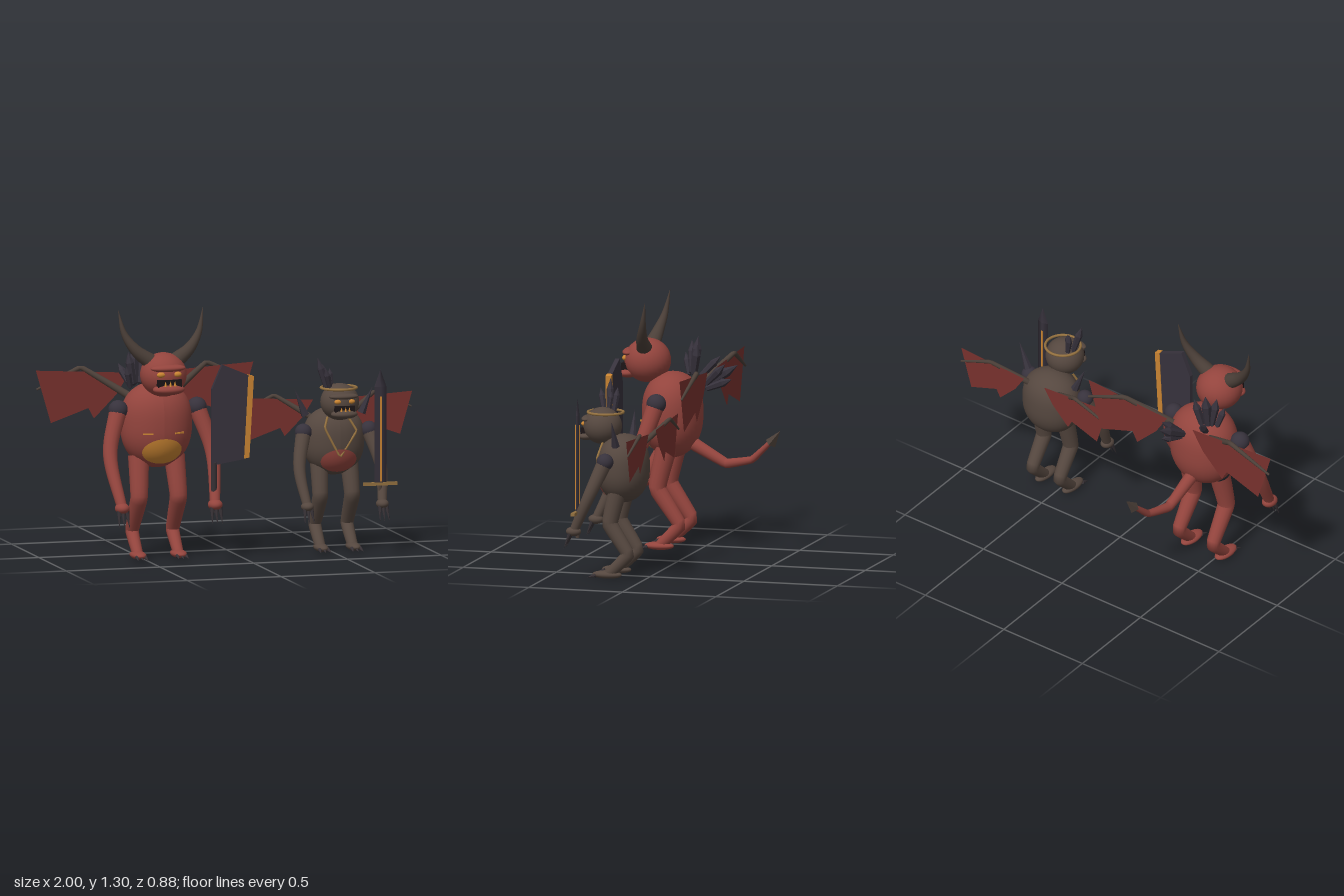
import * as THREE from 'three';

const V = (x, y, z) => new THREE.Vector3(x, y, z);
const mat = (name, color, side = THREE.FrontSide) => {
  const m = new THREE.MeshStandardMaterial({ color, side });
  m.name = name;
  return m;
};

export function createModel() {
  const M = {
    red: mat('red skin', 0x93443d),
    brown: mat('brown skin', 0x55473f),
    membrane: mat('wing membrane', 0x78312d, THREE.DoubleSide),
    horn: mat('horn', 0x4b3f38),
    charcoal: mat('charcoal', 0x37323c),
    orange: mat('orange', 0xc98432),
    gold: mat('gold', 0x93703f),
    claw: mat('claw', 0x363034),
    black: mat('mouth black', 0x1c1517),
  };

  const add = (parent, name, geo, material, pos) => {
    const mesh = new THREE.Mesh(geo, material);
    mesh.name = name;
    if (pos) mesh.position.copy(pos);
    parent.add(mesh);
    return mesh;
  };
  const ball = (g, name, m, p, rx, ry = rx, rz = rx) =>
    add(g, name, new THREE.SphereGeometry(1, 28, 18).scale(rx, ry, rz), m, p);
  const box = (g, name, m, p, w, h, d) => add(g, name, new THREE.BoxGeometry(w, h, d), m, p);

  // Tapering tube through points; low tension keeps visible joints
  const limb = (g, name, m, pts, r0, r1, tension = 0.5) => {
    const curve = new THREE.CatmullRomCurve3(pts, false, 'catmullrom', tension);
    const n = 28, k = 14, geo = new THREE.TubeGeometry(curve, n, 1, k, false);
    const p = geo.attributes.position, v = new THREE.Vector3();
    for (let i = 0; i <= n; i++) {
      const c = curve.getPointAt(i / n), r = r0 + (r1 - r0) * i / n;
      for (let j = 0; j <= k; j++) {
        const q = i * (k + 1) + j;
        v.fromBufferAttribute(p, q).sub(c).multiplyScalar(r).add(c);
        p.setXYZ(q, v.x, v.y, v.z);
      }
    }
    return add(g, name, geo, m);
  };

  // Flat-sided or round spike from a to b, from a unit profile of [radius, height]
  const spike = (g, name, m, a, b, r, sides = 8, profile = [[0, 0], [1, 0], [0, 1]]) => {
    const d = b.clone().sub(a), len = d.length();
    const geo = new THREE.LatheGeometry(
      profile.map(([x, y]) => new THREE.Vector2(x * r, y * len)), sides).toNonIndexed();
    geo.computeVertexNormals();
    const mesh = add(g, name, geo, m, a);
    mesh.quaternion.setFromUnitVectors(V(0, 1, 0), d.normalize());
    return mesh;
  };
  const gem = [[0, 0], [0.75, 0.08], [1, 0.68], [0, 1]];
  const crystal = (g, a, b, r) => spike(g, 'crystal', M.charcoal, V(...a), V(...b), r, 6, gem);

  // Barrel body: radius factor at height t in -1..1
  const girth = t => Math.sqrt(Math.max(0, 1 - Math.pow(Math.abs(t), t > 0 ? 2.8 : 2.3)));

  function demon(o) {
    const g = new THREE.Group(), { skin, s } = o, [by, hx, hy, hz] = o.body;
    g.name = o.name;
    const surf = (x, y) =>
      hz + hz * Math.sqrt(Math.max(0, girth((y - by) / hy) ** 2 - (x / hx) ** 2));

    const prof = [];
    for (let i = 0; i <= 28; i++) {
      const t = -Math.cos(Math.PI * i / 28);
      prof.push(new THREE.Vector2(i % 28 ? girth(t) : 0, t));
    }
    const torso = new THREE.LatheGeometry(prof, 36).scale(hx, hy, hz);
    torso.computeVertexNormals();
    add(g, 'torso', torso, skin, V(0, by, hz));

    // Belly patch laid on the torso
    const [py, pw, ph] = o.patch;
    const patch = new THREE.RingGeometry(0.001, 1, 36, 8), pp = patch.attributes.position;
    for (let i = 0; i < pp.count; i++) {
      const x = pp.getX(i) * pw, y = py + pp.getY(i) * ph;
      pp.setXYZ(i, x, y, surf(x, y) + 0.006);
    }
    patch.computeVertexNormals();
    add(g, 'belly patch', patch, o.patchMat);

    // Head and face
    const [hy0, hz0, hr] = o.head;
    const f = (x, y, z) => V(x * hr, hy0 + y * hr, hz0 + z * hr);
    ball(g, 'head', skin, f(0, 0, 0), hr, hr * 0.95, hr);
    ball(g, 'brow', skin, f(0, 0.36, 0.72), hr * 0.78, hr * 0.17, hr * 0.34);
    box(g, 'mouth', M.black, f(0, -0.27, 0.82), hr * 1.05, hr * 0.34, hr * 0.42);
    ball(g, 'jaw', skin, f(0, -0.54, 0.82), hr * 0.7, hr * 0.24, hr * 0.46);
    for (let i = -2; i <= 2; i++) {
      const z = 1.1 - 0.04 * i * i;
      spike(g, 'lower tooth', M.orange, f(i * 0.21, -0.42, z), f(i * 0.21, -0.14, z), hr * 0.08, 6);
    }

    // Paired parts
    for (const k of [-1, 1]) {
      const P = ([x, y, z]) => V(k * x, y, z);
      ball(g, 'eye', M.orange, f(k * 0.36, 0.11, 0.9), hr * 0.19, hr * 0.12, hr * 0.12);

      const [sh, el, ha] = o.arm;
      limb(g, 'arm', skin, [P(sh), P(el), P(ha)], 0.042 * s, 0.024 * s);
      ball(g, 'shoulder pad', M.charcoal, P(sh), 0.046 * s);
      ball(g, 'hand', skin, P(ha), 0.034 * s, 0.026 * s, 0.042 * s);
      for (let i = -1; i <= 1; i++) {
        const a = P(ha).add(V(i * 0.018 * s, -0.01, 0.015));
        spike(g, 'finger claw', M.claw, a, a.clone().add(V(i * 0.008, -0.08 * s, 0.03)), 0.012 * s);
      }

      limb(g, 'leg', skin, o.leg.map(P), 0.05 * s, 0.028, 0.12);
      const foot = P([o.leg[3][0], 0.022, 0.195]);
      ball(g, 'foot', skin, foot, 0.036 * s, 0.021, 0.078);
      for (let i = -1; i <= 1; i++) {
        const a = foot.clone().add(V(i * 0.021, -0.004, 0.055));
        spike(g, 'toe claw', M.claw, a, a.clone().add(V(i * 0.006, -0.012, 0.045)), 0.011);
      }

      // Wing with scalloped membrane and bent bone
      const w = o.wing, W = (x, y, z) => V(k * x * w, o.wingTop + (y - 0.96) * w, z * w + o.wingZ);
      const outline = [[0.08, 0.93], [0.335, 0.945], [0.58, 0.96], [0.5, 0.685],
        [0.3, 0.755], [0.27, 0.7], [0.15, 0.82]];
      const shape = new THREE.Shape(outline.map(([x, y]) => {
        const q = W(x, y, 0);
        return new THREE.Vector2(q.x, q.y);
      }));
      add(g, 'wing membrane', new THREE.ShapeGeometry(shape), M.membrane, V(0, 0, o.wingZ));
      limb(g, 'wing bone', M.horn,
        [W(0.12, 0.83, 0.1), W(0.335, 0.965, -0.018), W(0.575, 0.86, -0.006)], 0.02 * w, 0.006 * w, 0.05);
    }
    return g;
  }

  // Large red demon
  const big = demon({
    name: 'large horned demon', skin: M.red, s: 1.1, body: [0.69, 0.187, 0.222, 0.155],
    patch: [0.565, 0.105, 0.068], patchMat: M.orange, head: [0.965, 0.288, 0.12],
    arm: [[0.21, 0.775, 0.18], [0.272, 0.55, 0.25], [0.248, 0.295, 0.385]],
    leg: [[0.095, 0.53, 0.16], [0.105, 0.32, 0.205], [0.108, 0.135, 0.085], [0.108, 0.025, 0.19]],
    wing: 1, wingTop: 0.96, wingZ: -0.055,
  });
  big.position.x = -0.42;
  for (const k of [-1, 1]) {
    limb(big, 'horn', M.horn, [V(k * 0.07, 1.035, 0.285), V(k * 0.145, 1.095, 0.275),
      V(k * 0.2, 1.18, 0.255), V(k * 0.226, 1.297, 0.236)], 0.042, 0.001);
    const scar = box(big, 'chest scar', M.orange, V(k * 0.083, 0.66, 0.297), 0.055, 0.008, 0.008);
    scar.rotation.y = k * 0.4;
  }

  // Tail with barbed tip
  limb(big, 'tail', M.red, [V(0, 0.54, 0.04), V(0.01, 0.45, -0.135), V(0.035, 0.48, -0.28),
    V(0.05, 0.59, -0.395)], 0.034, 0.012, 0.1);
  spike(big, 'tail barb', M.horn, V(0.048, 0.57, -0.382), V(0.057, 0.64, -0.437), 0.03, 4);

  // Back crystals
  [[[-0.09, 0.88, 0.07], [-0.09, 1.085, 0.045], 0.026], [[-0.1, 0.88, 0.08], [-0.13, 1.06, 0.09], 0.023],
    [[-0.06, 0.88, 0.06], [-0.03, 1.05, 0.03], 0.022], [[-0.12, 0.87, 0.1], [-0.15, 0.99, 0.13], 0.018],
    [[-0.1, 0.87, 0.04], [-0.14, 0.98, -0.06], 0.02],
    [[0, 0.84, -0.01], [0.02, 0.965, -0.2], 0.025], [[0.01, 0.85, -0.02], [0.05, 0.97, -0.14], 0.022],
    [[0.01, 0.83, -0.02], [0.03, 0.89, -0.17], 0.022]].forEach(c => crystal(big, ...c));

  // Broad cleaver in the left hand
  const cleaver = new THREE.Group();
  cleaver.name = 'cleaver';
  big.add(cleaver);
  const slab = (name, m, pts, z, depth) => add(cleaver, name, new THREE.ExtrudeGeometry(
    new THREE.Shape(pts.map(p => new THREE.Vector2(...p))), { depth, bevelEnabled: false }),
  m, V(0, 0, z - depth / 2));
  slab('cleaver blade', M.charcoal, [[0.235, 0.495], [0.405, 0.522], [0.43, 0.955],
    [0.29, 1.015], [0.235, 0.89]], 0.363, 0.024);
  slab('cleaver edge', M.orange, [[0.405, 0.525], [0.433, 0.53], [0.457, 0.95], [0.428, 0.958]], 0.363, 0.03);
  add(cleaver, 'cleaver handle', new THREE.CylinderGeometry(0.016, 0.016, 0.26, 12), M.claw, V(0.248, 0.38, 0.363));

  // Small brown demon
  const small = demon({
    name: 'small crowned demon', skin: M.brown, s: 0.95, body: [0.565, 0.16, 0.177, 0.132],
    patch: [0.473, 0.095, 0.062], patchMat: M.red, head: [0.78, 0.245, 0.1],
    arm: [[0.175, 0.62, 0.18], [0.217, 0.44, 0.255], [0.2, 0.257, 0.34]],
    leg: [[0.08, 0.46, 0.14], [0.085, 0.285, 0.18], [0.086, 0.13, 0.083], [0.086, 0.025, 0.185]],
    wing: 0.8, wingTop: 0.78, wingZ: -0.02,
  });
  small.position.x = 0.533;

  // Circlet, crown crystals and shoulder spikes
  const ring = add(small, 'circlet', new THREE.TorusGeometry(0.091, 0.007, 8, 40), M.gold, V(0, 0.85, 0.228));
  ring.rotation.x = Math.PI / 2;
  [[[-0.06, 0.83, 0.23], [-0.115, 1.01, 0.235], 0.019], [[-0.05, 0.84, 0.25], [-0.085, 0.96, 0.28], 0.017],
    [[-0.05, 0.84, 0.2], [-0.075, 0.97, 0.185], 0.017], [[-0.035, 0.86, 0.22], [-0.045, 0.95, 0.21], 0.014]]
    .forEach(c => crystal(small, ...c));
  for (const k of [-1, 1])
    spike(small, 'shoulder spike', M.charcoal, V(k * 0.15, 0.7, 0.13), V(k * 0.208, 0.835, 0.135), 0.022, 6);

  // Necklace chain over the chest
  const chain = [[-0.06, 0.7, 0.228], [-0.08, 0.645, 0.25], [-0.003, 0.495, 0.265],
    [0.09, 0.625, 0.247], [0.035, 0.72, 0.225]].map(p => V(...p));
  limb(small, 'necklace', M.gold, chain, 0.006, 0.006, 0.05);

  // Sword in the left hand
  const sword = new THREE.Group();
  sword.name = 'sword';
  sword.position.set(0.195, 0, 0.32);
  small.add(sword);
  const blade = new THREE.CylinderGeometry(0.032, 0.032, 0.5, 4).scale(1, 1, 0.3);
  add(sword, 'sword blade', blade, M.charcoal, V(0, 0.61, 0));
  add(sword, 'sword point', new THREE.ConeGeometry(0.032, 0.09, 4).scale(1, 1, 0.3), M.charcoal, V(0, 0.905, 0));
  for (const k of [-1, 1]) box(sword, 'blade inlay', M.orange, V(0, 0.59, k * 0.008), 0.01, 0.44, 0.006);
  box(sword, 'crossguard', M.gold, V(0, 0.357, 0), 0.178, 0.016, 0.02);
  add(sword, 'sword grip', new THREE.CylinderGeometry(0.01, 0.01, 0.13, 10), M.horn, V(0, 0.29, 0));

  const root = new THREE.Group();
  root.name = 'demon pair';
  root.add(big, small);
  return root;
}
